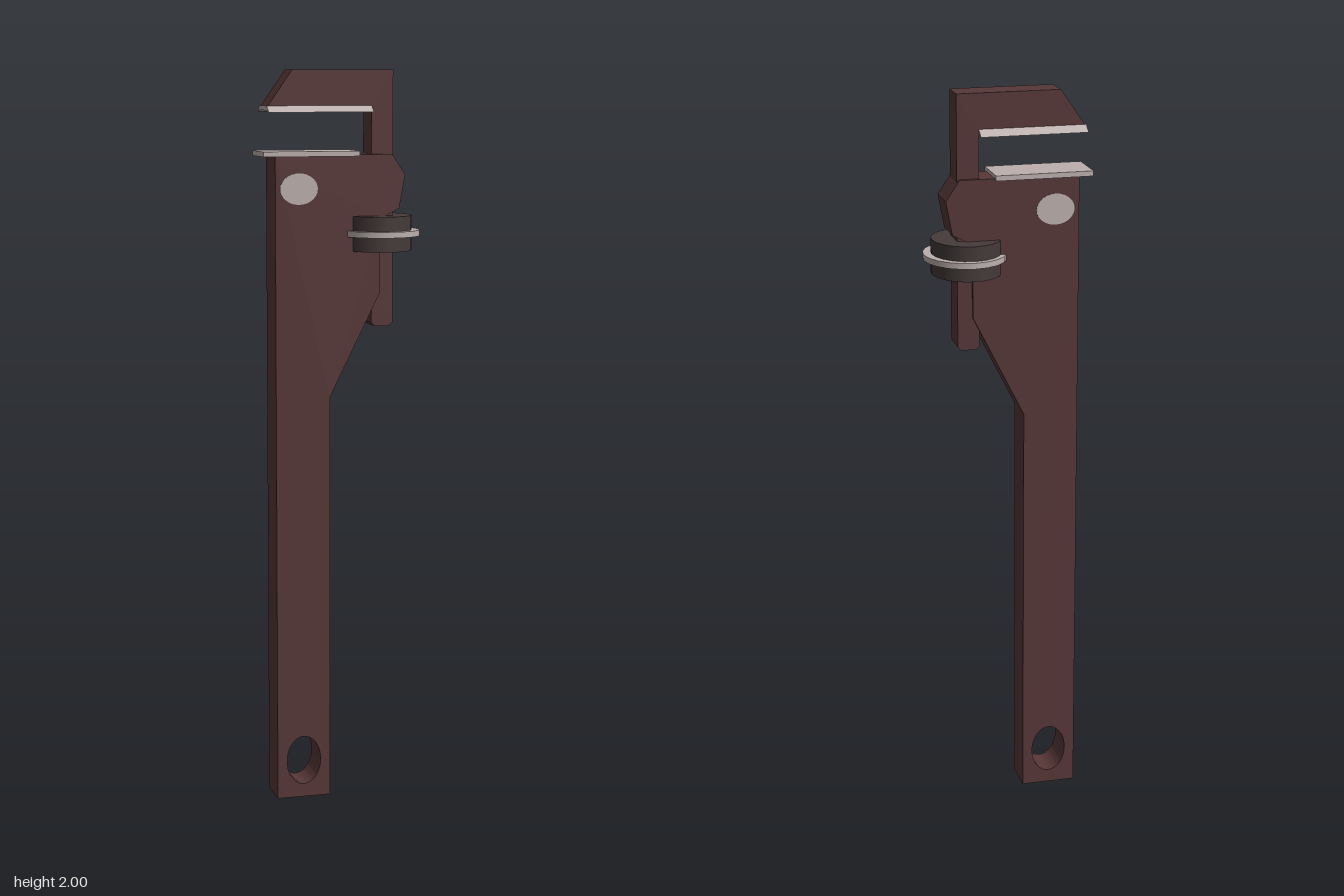
import * as THREE from 'three';
import { toCreasedNormals } from 'three/addons/utils/BufferGeometryUtils.js';

const mat = (color) => new THREE.MeshStandardMaterial({ color });
const BODY = mat(0x573737), STEEL = mat(0xbcb0ae), DARK = mat(0x443a39);

function createMesh(name, geometry, material) {
  const mesh = new THREE.Mesh(geometry, material);
  mesh.name = name;
  return mesh;
}

// Extrudes an outline centred on z = 0
function slab(points, depth, hole) {
  const shape = new THREE.Shape(points.map(([x, y]) => new THREE.Vector2(x, y)));
  if (hole) shape.holes.push(hole);
  const geo = new THREE.ExtrudeGeometry(shape, { depth, bevelEnabled: false, curveSegments: 28 });
  geo.translate(0, 0, -depth / 2);
  return toCreasedNormals(geo, 0.5);
}

// Upright disc with a slightly oval outline
function disc(rx, rz, height, x, y) {
  const geo = new THREE.CylinderGeometry(1, 1, height, 20);
  geo.rotateY(Math.PI / 2);
  geo.scale(rx, 1, rz);
  geo.translate(x, y, 0);
  return toCreasedNormals(geo, 0.5);
}

export function createModel() {
  const wrench = new THREE.Group();
  wrench.name = 'adjustableWrench';

  // Handle and fixed lower jaw, with a hanging hole
  const hole = new THREE.Path();
  hole.absellipse(-0.115, 0.105, 0.048, 0.068, 0, Math.PI * 2, true);
  wrench.add(createMesh('handle', slab([
    [-0.19, 0], [-0.04, 0], [-0.04, 1.12], [0.1, 1.4], [0.1, 1.6],
    [0.155, 1.63], [0.172, 1.72], [0.135, 1.775], [-0.19, 1.775],
  ], 0.1, hole), BODY));

  // Sliding upper jaw with its shank
  wrench.add(createMesh('slidingJaw', slab([
    [-0.21, 1.9], [0.08, 1.9], [0.08, 1.32], [0.09, 1.31], [0.13, 1.31], [0.14, 1.32],
    [0.14, 2], [-0.14, 2],
  ], 0.08), BODY));

  // Flared lip under the upper jaw
  const lip = slab([
    [-0.063, 1.888], [-0.04, 1.893], [0.04, 1.893], [0.063, 1.888], [0.04, 1.905], [-0.04, 1.905],
  ], 0.29);
  lip.rotateY(Math.PI / 2);
  lip.translate(-0.065, 0, 0);
  wrench.add(createMesh('upperJawLip', lip, STEEL));

  // Flat plate on the lower jaw
  const plate = new THREE.BoxGeometry(0.265, 0.014, 0.126);
  plate.translate(-0.0925, 1.778, 0);
  wrench.add(createMesh('lowerJawPlate', plate, STEEL));

  // Adjusting wheel with a bright rim
  wrench.add(createMesh('adjustingWheel', disc(0.094, 0.107, 0.095, 0.107, 1.5625), DARK));
  wrench.add(createMesh('wheelRim', disc(0.112, 0.125, 0.016, 0.111, 1.5625), STEEL));

  // Oval inlay showing on both faces
  const inlay = new THREE.CylinderGeometry(1, 1, 0.103, 28);
  inlay.rotateX(Math.PI / 2);
  inlay.scale(0.052, 0.042, 1);
  inlay.translate(-0.125, 1.685, 0);
  wrench.add(createMesh('ovalInlay', toCreasedNormals(inlay, 0.5), STEEL));

  return wrench;
}
